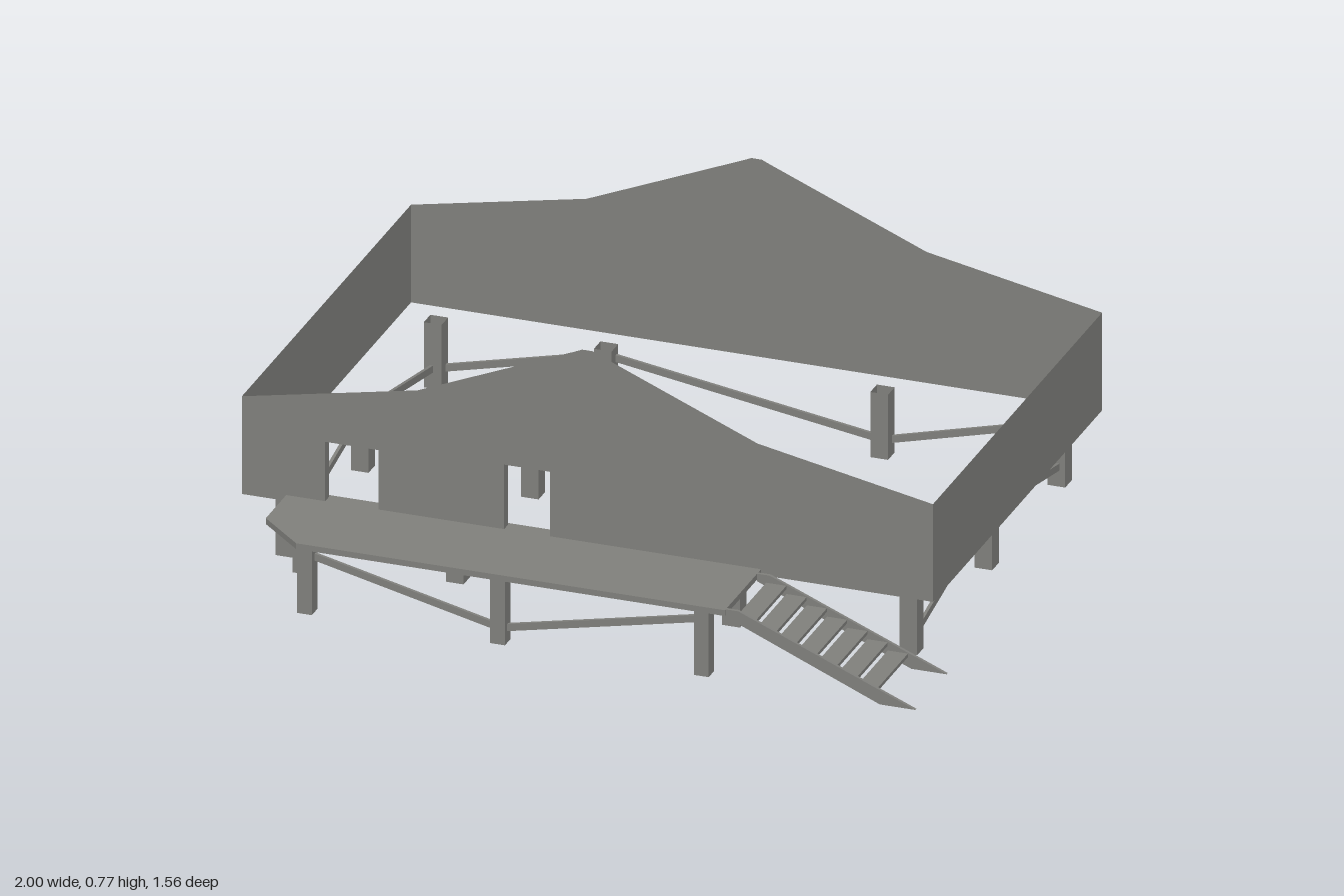
import * as THREE from 'three';

export function createModel() {
  const model = new THREE.Group();
  const grey = new THREE.MeshStandardMaterial({ color: 0x7f7f7b, side: THREE.DoubleSide });
  grey.name = 'warm grey';
  const FLOOR = 0.19, DECK = 0.207;

  const add = (name, geometry, x = 0, y = 0, z = 0) => {
    const mesh = new THREE.Mesh(geometry, grey);
    mesh.name = name;
    mesh.position.set(x, y, z);
    model.add(mesh);
    return mesh;
  };
  const shapeOf = (pts) => new THREE.Shape(pts.map(([x, y]) => new THREE.Vector2(x, y)));
  const extrude = (shape, depth) => new THREE.ExtrudeGeometry(shape, { depth, bevelEnabled: false });

  // Gable walls as single sheets, the front one pierced by doorways
  const doors = [[-0.765, -0.615, 0.38], [-0.26, -0.13, 0.395]];
  const gable = () => shapeOf([
    [-1, FLOOR], [0.95, FLOOR], [0.95, 0.475], [0.455, 0.572], [0.01, 0.757],
    [-0.01, 0.766], [-0.04, 0.766], [-0.06, 0.757], [-0.505, 0.572], [-1, 0.475],
  ]);
  const front = gable();
  for (const [a, b, top] of doors) {
    front.holes.push(new THREE.Path([[a, DECK], [a, top], [b, top], [b, DECK]]
      .map(([x, y]) => new THREE.Vector2(x, y))));
  }
  add('frontWall', new THREE.ShapeGeometry(front), 0, 0, 0.505);
  const back = add('backWall', new THREE.ShapeGeometry(gable()), -0.05, 0, -0.78);
  back.rotation.y = Math.PI;
  back.scale.x = -1;
  back.position.x = 0;
  back.rotation.y = 0;
  back.scale.x = 1;

  // Side walls
  for (const [name, x, turn] of [['leftWall', 0.95, 1], ['rightWall', -1, -1]]) {
    add(name, new THREE.PlaneGeometry(1.285, 0.285), x, 0.3325, -0.1375).rotation.y = turn * Math.PI / 2;
  }

  // Door reveals running inward
  for (const [a, b, top] of doors) {
    const h = top - DECK;
    for (const x of [a, b]) {
      add('doorJamb', new THREE.PlaneGeometry(0.03, h), x, DECK + h / 2, 0.49).rotation.y = Math.PI / 2;
    }
    add('doorHeader', new THREE.PlaneGeometry(b - a, 0.03), (a + b) / 2, top, 0.49).rotation.x = -Math.PI / 2;
  }

  // Porch deck with one cut corner
  const deck = shapeOf([[-0.875, 0.465], [0.465, 0.465], [0.465, 0.78], [-0.745, 0.78], [-0.875, 0.66]]);
  add('deck', extrude(deck, DECK - FLOOR), 0, DECK, 0).rotation.x = Math.PI / 2;

  // Hollow square posts
  const post = (name, x, z, width) => {
    const g = new THREE.CylinderGeometry(width / Math.SQRT2, width / Math.SQRT2, FLOOR, 4, 1, true);
    g.rotateY(Math.PI / 4);
    const flat = g.toNonIndexed();
    flat.computeVertexNormals();
    add(name, flat, x, FLOOR / 2, z);
  };
  const columns = [-0.9, -0.42, 0.36, 0.86], rows = [-0.7, -0.145, 0.425];
  for (const x of columns) for (const z of rows) post('housePost', x, z, 0.05);
  for (const [x, z] of [[0.395, 0.75], [-0.18, 0.75], [-0.725, 0.75], [-0.825, 0.515]]) {
    post('deckPost', x, z, 0.042);
  }

  // Sloping braces between neighbouring posts
  const brace = (name, a, b) => {
    const from = new THREE.Vector3(...a), to = new THREE.Vector3(...b);
    const mid = from.clone().add(to).multiplyScalar(0.5);
    add(name, new THREE.BoxGeometry(0.009, 0.02, from.distanceTo(to)), mid.x, mid.y, mid.z).lookAt(to);
  };
  const chain = (name, pts) => pts.slice(1).forEach((p, i) => brace(name, pts[i], p));
  chain('backBrace', [[-0.9, 0.045, -0.71], [-0.42, 0.16, -0.71], [0.36, 0.04, -0.71], [0.845, 0.165, -0.71]]);
  for (const x of [-0.903, 0.865]) {
    chain('sideBrace', [[x, 0.045, 0.405], [x, 0.16, -0.145], [x, 0.053, -0.7]]);
  }
  chain('deckBrace', [[-0.825, 0.045, 0.535], [-0.725, 0.165, 0.745], [-0.18, 0.04, 0.75], [0.39, 0.16, 0.75]]);

  // Stair with two stringers and open treads
  const stringer = shapeOf([[0.465, 0.185], [0.9, 0], [1, 0], [0.5, DECK], [0.465, DECK]]);
  for (const z of [0.526, 0.765]) add('stairStringer', extrude(stringer, 0.009), 0, 0, z);
  for (let i = 0; i < 7; i++) {
    add('stairTread', new THREE.BoxGeometry(0.057, 0.01, 0.235), 0.519 + i * 0.0572, 0.18 - i * 0.0237, 0.65);
  }
  return model;
}
